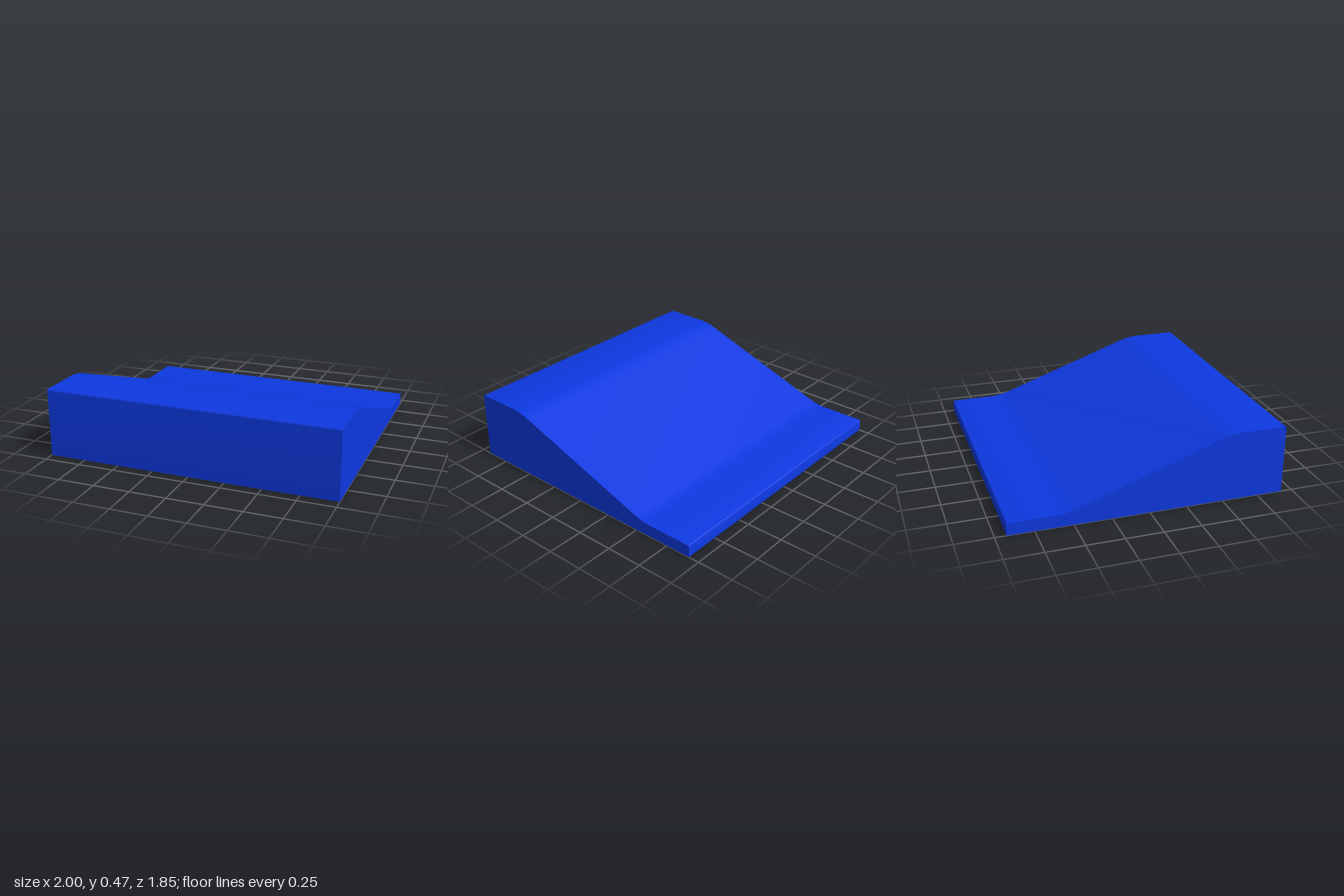
import * as THREE from 'three';
import { toCreasedNormals } from 'three/addons/utils/BufferGeometryUtils.js';

const WIDTH = 2, HALF_DEPTH = 0.925;
const HIGH = 0.47, LOW = 0.084; // heights of the two flat landings
const BEND = 0.55; // where the slope would meet the landings
const EDGE = 0.012; // small rounding on the upper rims

export function createModel() {
  const group = new THREE.Group();
  group.name = 'slopedRoofTile';

  // Side profile: shape x runs along the depth, shape y is height
  const slope = (HIGH - LOW) / (2 * BEND);
  const blend = 0.07;
  const profile = new THREE.Shape();
  profile.moveTo(-HALF_DEPTH, 0);
  profile.lineTo(HALF_DEPTH, 0);
  profile.lineTo(HALF_DEPTH, HIGH - EDGE);
  profile.quadraticCurveTo(HALF_DEPTH, HIGH, HALF_DEPTH - EDGE, HIGH);
  // high landing easing into the ramp
  profile.lineTo(BEND + blend, HIGH);
  profile.quadraticCurveTo(BEND, HIGH, BEND - blend, HIGH - slope * blend);
  // ramp easing into the low landing
  profile.lineTo(-BEND + blend, LOW + slope * blend);
  profile.quadraticCurveTo(-BEND, LOW, -BEND - blend, LOW);
  profile.lineTo(-HALF_DEPTH + EDGE, LOW);
  profile.quadraticCurveTo(-HALF_DEPTH, LOW, -HALF_DEPTH, LOW - EDGE);
  profile.closePath();

  // Extrude across the width and turn the depth onto z
  const solid = new THREE.ExtrudeGeometry(profile, {
    depth: WIDTH, bevelEnabled: false, curveSegments: 8,
  });
  solid.rotateY(-Math.PI / 2);
  solid.translate(WIDTH / 2, 0, 0);

  const body = new THREE.Mesh(
    toCreasedNormals(solid, Math.PI / 6),
    new THREE.MeshStandardMaterial({ color: 0x0d38e0 }),
  );
  body.name = 'rampBody';
  group.add(body);
  return group;
}
